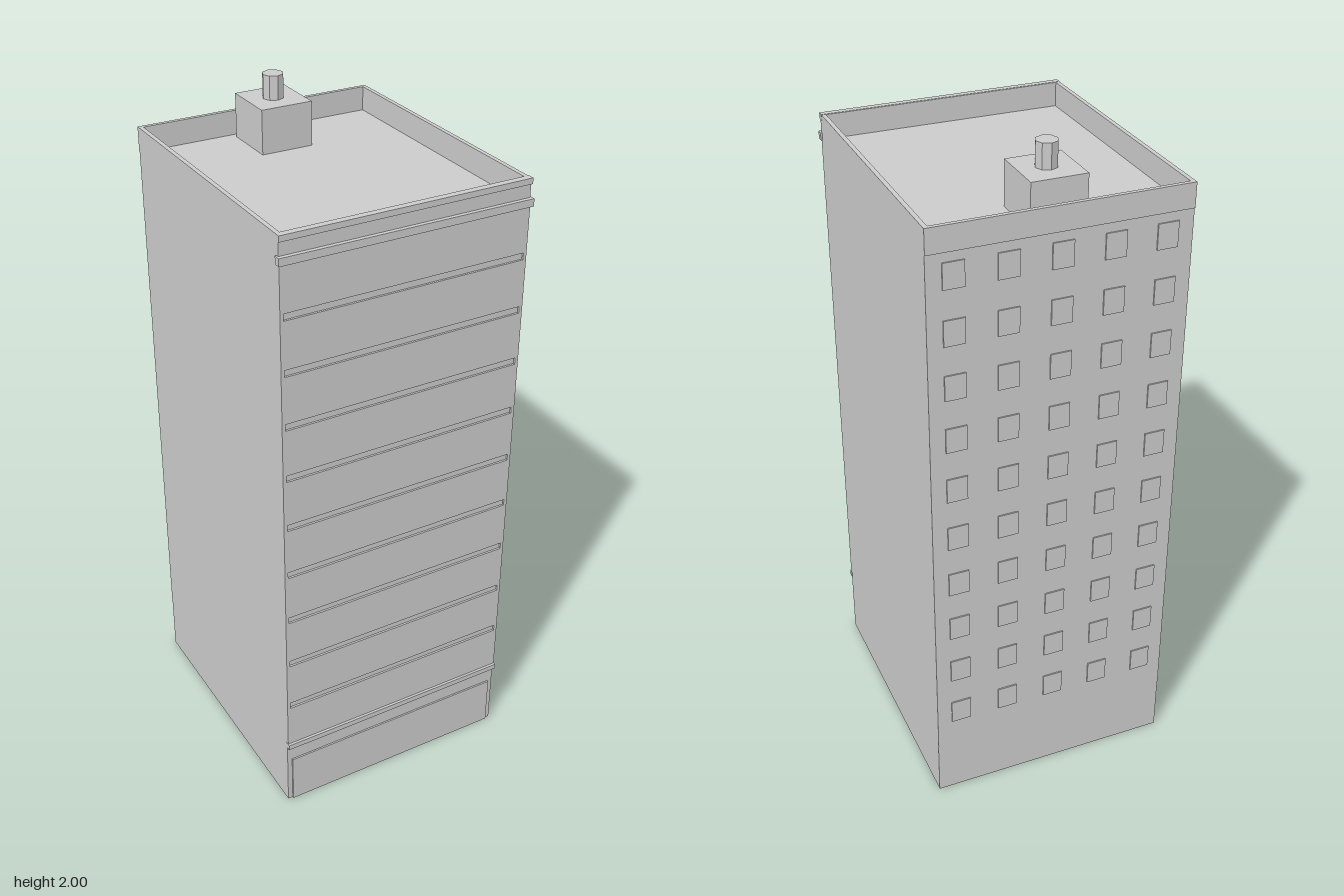
import * as THREE from 'three';

const concrete = new THREE.MeshStandardMaterial({ color: 0xcccccc });

// Box given by its extents on each axis
function block(name, [x0, x1], [y0, y1], [z0, z1]) {
  const mesh = new THREE.Mesh(new THREE.BoxGeometry(x1 - x0, y1 - y0, z1 - z0), concrete);
  mesh.name = name;
  mesh.position.set((x0 + x1) / 2, (y0 + y1) / 2, (z0 + z1) / 2);
  return mesh;
}

function rect(PathType, x0, x1, y0, y1) {
  return new PathType([[x0, y0], [x1, y0], [x1, y1], [x0, y1]].map(([x, y]) => new THREE.Vector2(x, y)));
}

export function createModel() {
  const model = new THREE.Group();
  model.name = 'towerBlock';
  const storey = 0.159;

  // Main volume: plinth storey and tower shaft
  model.add(block('plinth', [-0.37, 0.37], [0, 0.18], [-0.425, 0.415]));
  model.add(block('shaft', [-0.37, 0.37], [0.18, 1.8], [-0.427, 0.415]));

  // Front facade skin with a shallow groove at every floor
  const skin = rect(THREE.Shape, -0.37, 0.37, 0.22, 1.8);
  for (let i = 0; i < 9; i++) {
    const y = 0.38 + i * storey;
    skin.holes.push(rect(THREE.Path, -0.36, 0.36, y - 0.01, y + 0.01));
  }
  const facade = new THREE.Mesh(new THREE.ExtrudeGeometry(skin, { depth: 0.006, bevelEnabled: false }), concrete);
  facade.name = 'frontFacade';
  facade.position.z = 0.415;
  model.add(facade);

  // Ground-floor panel and the two horizontal mouldings
  model.add(block('groundFloorPanel', [-0.355, 0.355], [0, 0.16], [0.41, 0.42]));
  model.add(block('lowerBand', [-0.371, 0.371], [0.215, 0.232], [0.41, 0.429]));
  model.add(block('cornice', [-0.375, 0.375], [1.795, 1.817], [0.41, 0.43]));

  // Parapet ring around the sunken roof
  const ring = rect(THREE.Shape, -0.37, 0.37, -0.418, 0.43);
  ring.holes.push(rect(THREE.Path, -0.357, 0.357, -0.402, 0.418));
  const parapet = new THREE.Mesh(new THREE.ExtrudeGeometry(ring, { depth: 0.072, bevelEnabled: false }), concrete);
  parapet.name = 'parapet';
  parapet.rotation.x = -Math.PI / 2;
  parapet.position.y = 1.8;
  model.add(parapet);
  model.add(block('parapetLip', [-0.371, 0.371], [1.856, 1.873], [0.405, 0.424]));

  // Back windows, five columns on ten floors
  const windows = new THREE.Group();
  windows.name = 'backWindows';
  for (let row = 0; row < 10; row++) {
    for (let col = -2; col <= 2; col++) {
      const x = col * 0.148;
      const y = 0.305 + row * storey;
      windows.add(block('backWindow', [x - 0.03, x + 0.03], [y - 0.037, y + 0.037], [-0.431, -0.424]));
    }
  }
  model.add(windows);

  // Roof hut and its octagonal flue
  model.add(block('roofHut', [-0.079, 0.079], [1.795, 1.93], [-0.398, -0.231]));
  const flueGeometry = new THREE.CylinderGeometry(0.031, 0.031, 0.075, 8).toNonIndexed();
  flueGeometry.computeVertexNormals();
  const flue = new THREE.Mesh(flueGeometry, concrete);
  flue.name = 'flue';
  flue.position.set(0, 1.9625, -0.3145);
  model.add(flue);

  return model;
}
